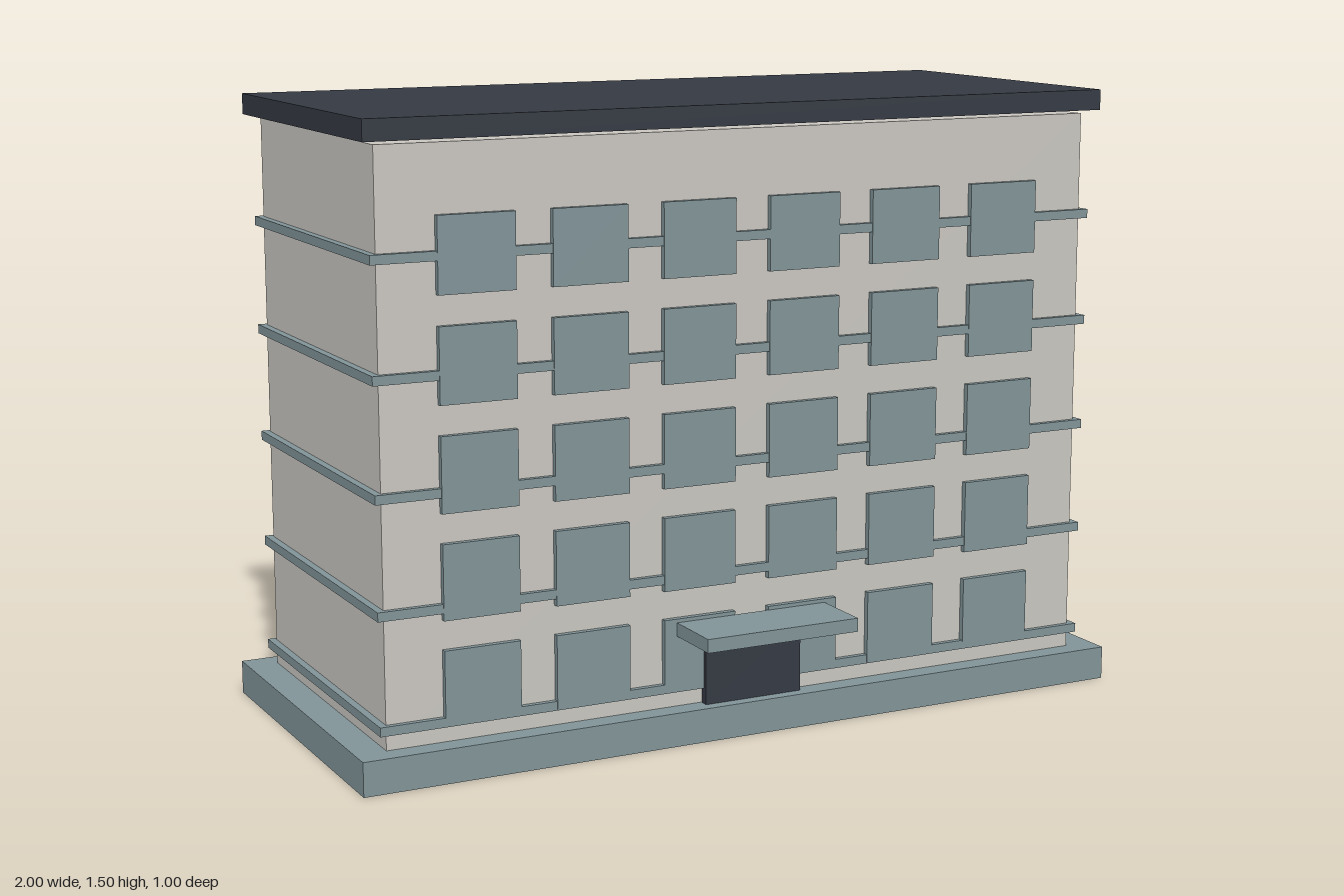
import * as THREE from 'three';

const material = (name, color) => {
  const m = new THREE.MeshStandardMaterial({ color });
  m.name = name;
  return m;
};

export function createModel() {
  const wall = material('warm grey wall', 0xc9c6c0);
  const trim = material('blue grey trim', 0x809397);
  const dark = material('dark slate', 0x353a43);

  const building = new THREE.Group();
  building.name = 'officeBlock';

  // Box given by its size and centre
  const box = (name, mat, [w, h, d], [x, y, z], parent = building) => {
    const mesh = new THREE.Mesh(new THREE.BoxGeometry(w, h, d), mat);
    mesh.name = name;
    mesh.position.set(x, y, z);
    parent.add(mesh);
  };

  const zMid = -0.06; // the block sits behind the canopy

  // Main masses; a thin shadow gap stays under the roof
  box('plinth', trim, [2, 0.082, 0.88], [0, 0.041, zMid]);
  box('walls', wall, [1.85, 1.362, 0.774], [0, 0.763, zMid]);
  box('roof', dark, [1.92, 0.05, 0.834], [0, 1.478, zMid]);

  // Entrance
  box('door', dark, [0.256, 0.18, 0.02], [0, 0.17, 0.341]);
  box('canopy', trim, [0.4, 0.033, 0.16], [0, 0.274, 0.42]);

  // Storeys: a ledge all round, and six windows on front and back
  for (let floor = 0; floor < 5; floor++) {
    const storey = new THREE.Group();
    storey.name = `storey${floor + 1}`;
    building.add(storey);
    box('ledge', trim, [1.886, 0.022, 0.8], [0, 0.131 + floor * 0.2662, zMid], storey);
    for (const side of [1, -1]) {
      for (let i = 0; i < 6; i++) {
        const x = (i - 2.5) * 0.277;
        const y = 0.211 + floor * 0.2465;
        box('window', trim, [0.187, 0.177, 0.018], [x, y, zMid + side * 0.3925], storey);
      }
    }
  }
  return building;
}
